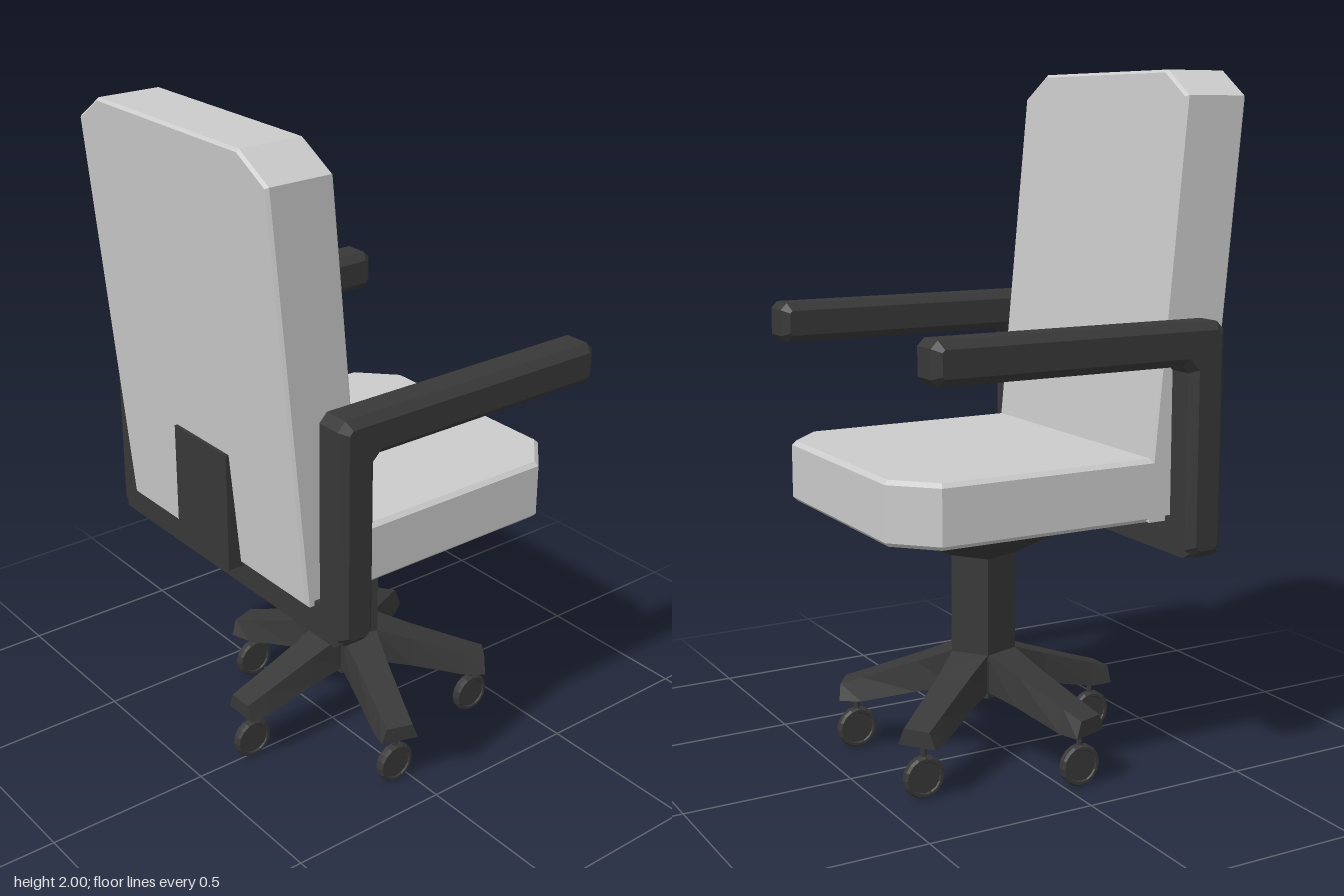
import * as THREE from 'three';

const fabric = new THREE.MeshStandardMaterial({ color: 0xcccccc, flatShading: true });
const dark = new THREE.MeshStandardMaterial({ color: 0x383838, flatShading: true });
const AXIS_X = 0.07; // centre of the pedestal

// Outline extruded to an exact depth, with chamfered edges kept inside the outline
function chamfered(points, depth, c) {
  const shape = new THREE.Shape(points.map(([x, y]) => new THREE.Vector2(x, y)));
  return new THREE.ExtrudeGeometry(shape, {
    depth: depth - 2 * c, bevelEnabled: true, bevelThickness: c,
    bevelSize: c, bevelOffset: -c, bevelSegments: 1,
  }).translate(0, 0, c);
}

// Solid skinned over four-cornered cross-sections
function loft(sections) {
  const pos = sections.flat(2), idx = [], last = (sections.length - 1) * 4;
  for (let s = 0; s < last; s += 4) {
    for (let i = 0; i < 4; i++) {
      const a = s + i, b = s + (i + 1) % 4;
      idx.push(a, b, b + 4, a, b + 4, a + 4);
    }
  }
  idx.push(0, 2, 1, 0, 3, 2, last, last + 1, last + 2, last, last + 2, last + 3);
  const g = new THREE.BufferGeometry();
  g.setAttribute('position', new THREE.Float32BufferAttribute(pos, 3));
  g.setIndex(idx);
  g.computeVertexNormals();
  return g;
}

export function createModel() {
  const group = new THREE.Group();
  const add = (name, geometry, material, parent = group) => {
    const mesh = new THREE.Mesh(geometry, material);
    mesh.name = name;
    parent.add(mesh);
    return mesh;
  };

  // Seat cushion with cut front corners
  const seat = chamfered([[-0.3, -0.43], [0.42, -0.43], [0.53, -0.315],
    [0.53, 0.315], [0.42, 0.43], [-0.3, 0.43]], 0.18, 0.012);
  add('seat', seat.rotateX(-Math.PI / 2).translate(0, 0.76, 0), fabric);

  // Backrest with cut top corners, leaned by shearing
  const back = chamfered([[-0.43, 0.76], [0.43, 0.76], [0.43, 1.93],
    [0.32, 2], [-0.32, 2], [-0.43, 1.93]], 0.2, 0.008);
  back.rotateY(Math.PI / 2).translate(-0.435, 0, 0);
  const p = back.attributes.position;
  for (let i = 0; i < p.count; i++) p.setX(i, p.getX(i) - (p.getY(i) - 0.94) * 0.0943);
  back.computeVertexNormals();
  add('backrest', back, fabric);

  // Bracket joining the backrest to the seat
  add('bracketPlate', new THREE.BoxGeometry(0.06, 0.35, 0.25).translate(-0.43, 0.93, 0), dark);
  add('bracketFoot', new THREE.BoxGeometry(0.4, 0.02, 0.25).translate(-0.26, 0.762, 0), dark);

  // Arms: post and armrest in one outline, mirrored
  const armOutline = [[-0.37, 0.672], [-0.305, 0.672], [-0.28, 0.697], [-0.28, 1.19],
    [-0.26, 1.21], [0.48, 1.21], [0.5, 1.23], [0.5, 1.308], [0.48, 1.328],
    [-0.37, 1.328], [-0.395, 1.303], [-0.395, 0.697]];
  for (const [name, z] of [['leftArm', -0.55], ['rightArm', 0.432]]) {
    add(name, chamfered(armOutline, 0.118, 0.022).translate(0, 0, z), dark);
  }

  // Crossbar under the seat between the arms
  const bar = [[-0.395, 0.672], [-0.28, 0.672], [-0.28, 0.775], [-0.395, 0.775]];
  add('crossbar', chamfered(bar, 1.08, 0.022).translate(0, 0, -0.54), dark);

  // Five-sided column flaring into the seat mount
  const profile = [[0, 0.2], [0.1, 0.2], [0.1, 0.62], [0.235, 0.685], [0.32, 0.765], [0, 0.765]]
    .map(([r, y]) => new THREE.Vector2(r, y));
  add('column', new THREE.LatheGeometry(profile, 5, Math.PI / 2).translate(AXIS_X, 0, 0), dark);

  // Five tapering legs, each with a caster
  const section = (r, bottom, top, wBottom, wTop) => [
    [r, bottom, wBottom], [r, bottom, -wBottom], [r, top, -wTop], [r, top, wTop]];
  const legGeometry = loft([
    section(0.07, 0.22, 0.335, 0.058, 0.058),
    section(0.19, 0.2, 0.29, 0.058, 0.048),
    section(0.355, 0.162, 0.232, 0.058, 0.042),
    section(0.42, 0.162, 0.21, 0.058, 0.04),
  ]);
  const wheelProfile = [[0, -0.011], [0.045, -0.011], [0.048, -0.015], [0.056, -0.015],
    [0.062, -0.008], [0.062, 0.008], [0.056, 0.015], [0.048, 0.015], [0.045, 0.011], [0, 0.011]]
    .map(([r, y]) => new THREE.Vector2(r, y));
  const wheelGeometry = new THREE.LatheGeometry(wheelProfile, 16).rotateX(Math.PI / 2);
  const stemGeometry = new THREE.CylinderGeometry(0.009, 0.009, 0.07, 8);
  for (let i = 0; i < 5; i++) {
    const a = Math.PI / 5 + i * Math.PI * 2 / 5;
    const leg = add('leg', legGeometry, dark);
    leg.position.x = AXIS_X;
    leg.rotation.y = -a;
    const caster = new THREE.Group();
    caster.name = 'caster';
    caster.position.set(AXIS_X + 0.38 * Math.cos(a), 0, 0.38 * Math.sin(a));
    add('wheel', wheelGeometry, dark, caster).position.y = 0.062;
    add('stem', stemGeometry, dark, caster).position.y = 0.14;
    group.add(caster);
  }
  return group;
}
